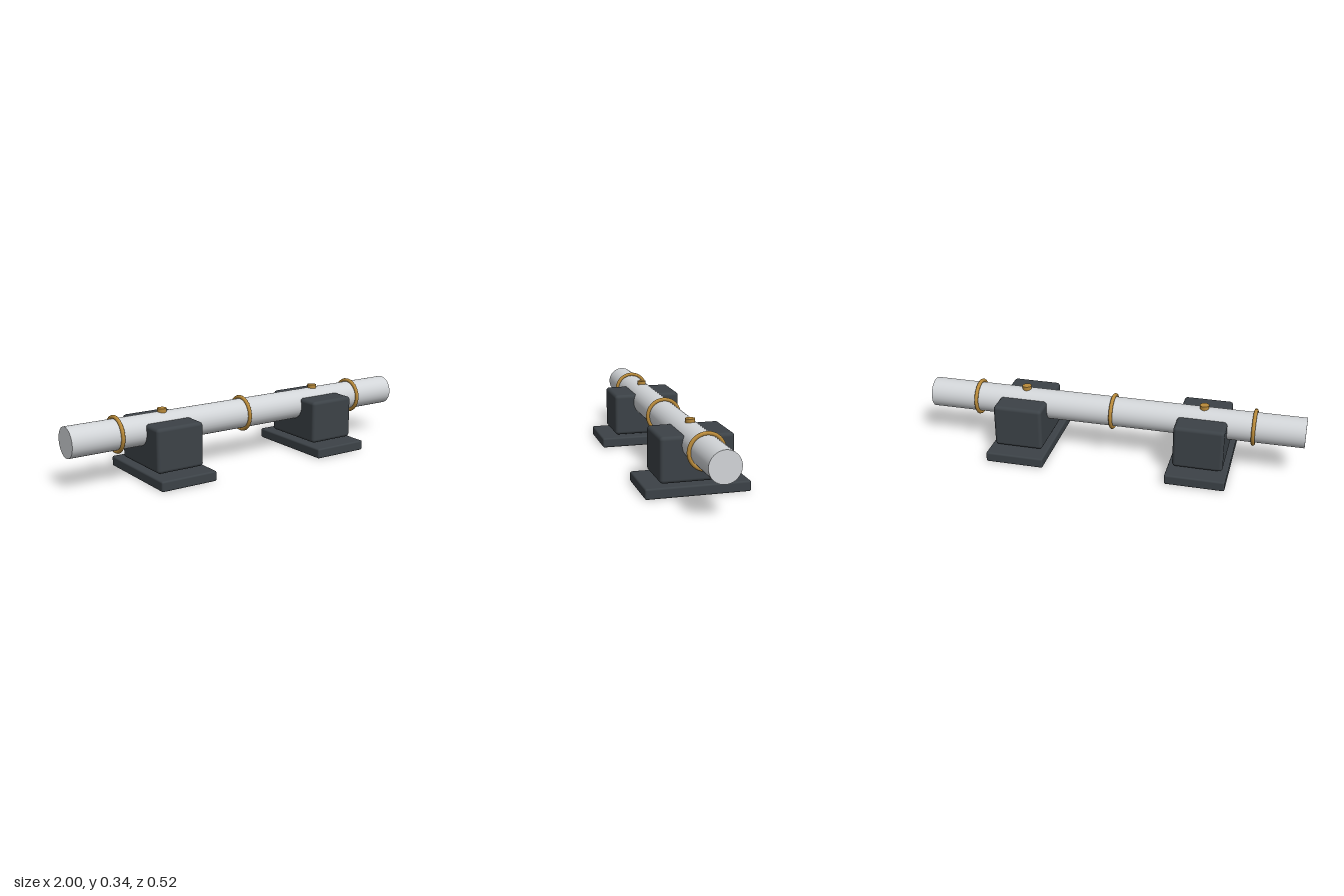
import * as THREE from 'three';
import { RoundedBoxGeometry } from 'three/addons/geometries/RoundedBoxGeometry.js';

const SHAFT_Y = 0.246;
const SHAFT_R = 0.078;

function material(name, color) {
  const m = new THREE.MeshStandardMaterial({ color });
  m.name = name;
  return m;
}

export function createModel() {
  const steel = material('pale steel', 0xd2d5d8);
  const iron = material('dark iron', 0x3c4247);
  const brass = material('brass', 0xb98a3a);

  const model = new THREE.Group();
  model.name = 'shaftOnBearings';

  function add(parent, name, geometry, mat, x, y, z = 0) {
    const mesh = new THREE.Mesh(geometry, mat);
    mesh.name = name;
    mesh.position.set(x, y, z);
    parent.add(mesh);
    return mesh;
  }

  // Long horizontal shaft
  const shaft = new THREE.CylinderGeometry(SHAFT_R, SHAFT_R, 2, 32).rotateZ(Math.PI / 2);
  add(model, 'shaft', shaft, steel, 0, SHAFT_Y);

  // Collar rings around the shaft
  const ring = new THREE.TorusGeometry(0.086, 0.01, 10, 24).rotateY(Math.PI / 2);
  for (const x of [-0.74, 0, 0.74]) add(model, 'collarRing', ring, brass, x, SHAFT_Y);

  // Two pillow blocks, each with foot plate, housing and oil cap
  const foot = new RoundedBoxGeometry(0.31, 0.053, 0.524, 3, 0.009);
  const housing = new RoundedBoxGeometry(0.26, 0.227, 0.367, 3, 0.018);
  const cap = new THREE.CylinderGeometry(0.024, 0.024, 0.022, 16);
  for (const side of [-1, 1]) {
    const block = new THREE.Group();
    block.name = side > 0 ? 'leftBearing' : 'rightBearing';
    block.position.x = side * 0.478;
    add(block, 'footPlate', foot, iron, 0, 0.0265);
    add(block, 'housing', housing, iron, 0, 0.1755);
    add(block, 'oilCap', cap, brass, 0, 0.33);
    model.add(block);
  }

  return model;
}
